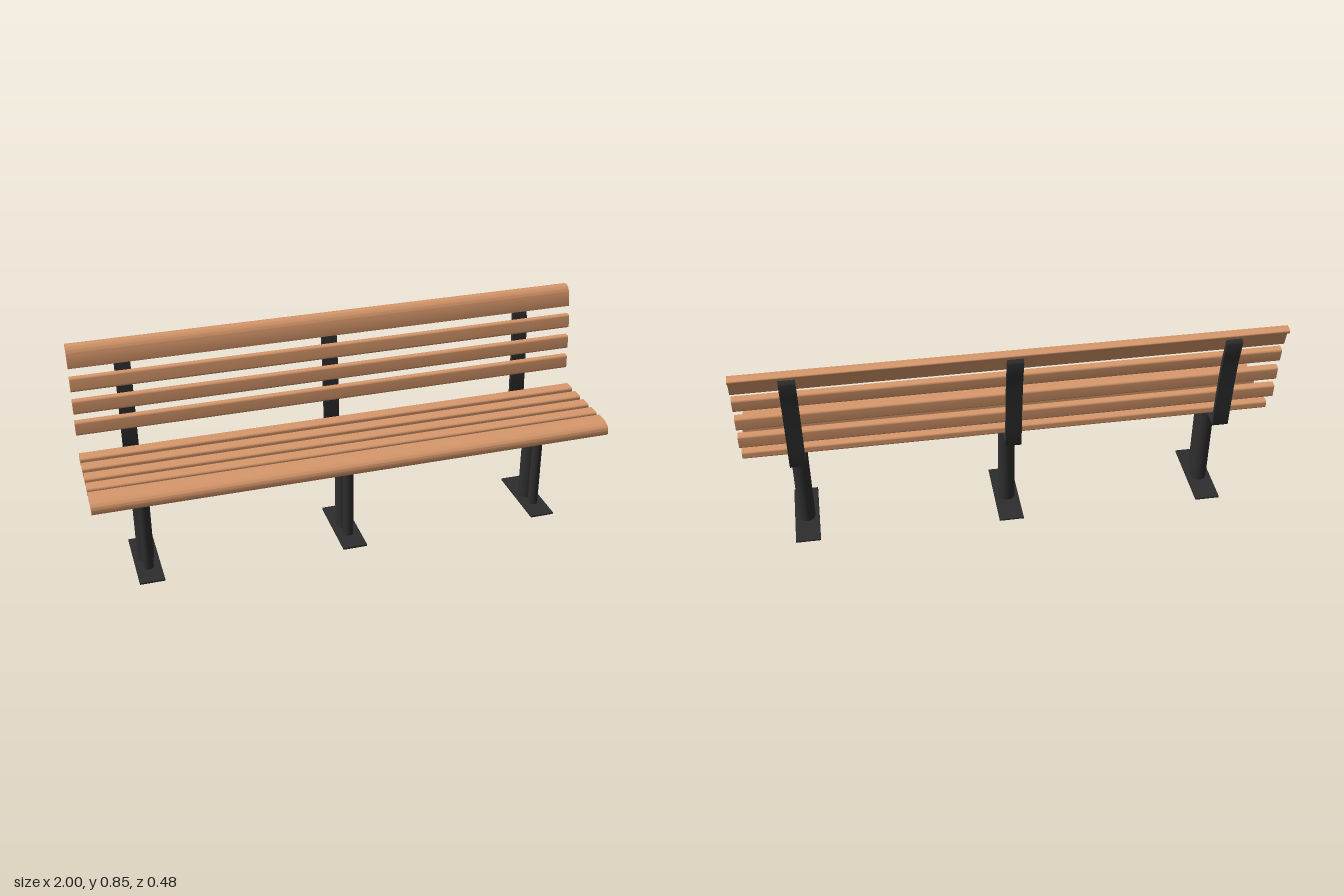
import * as THREE from 'three';
import { toCreasedNormals } from 'three/addons/utils/BufferGeometryUtils.js';

const wood = new THREE.MeshStandardMaterial({ color: 0xd9996c });
wood.name = 'wood';
const metal = new THREE.MeshStandardMaterial({ color: 0x2e2e2f });
metal.name = 'dark metal';

// Closed outline from [z, y, cornerRadius] points, drawn with x = -z
function roundedOutline(points) {
  const shape = new THREE.Shape();
  const n = points.length;
  const at = (i) => new THREE.Vector2(-points[(i + n) % n][0], points[(i + n) % n][1]);
  for (let i = 0; i < n; i++) {
    const p = at(i), r = points[i][2];
    const towards = (q) => {
      const d = q.sub(p);
      return p.clone().add(d.setLength(Math.min(r, d.length() * 0.49)));
    };
    const a = towards(at(i - 1)), b = towards(at(i + 1));
    if (i === 0) shape.moveTo(a.x, a.y);
    else shape.lineTo(a.x, a.y);
    shape.quadraticCurveTo(p.x, p.y, b.x, b.y);
  }
  shape.closePath();
  return shape;
}

// Side profile extruded across the bench, centred on x = 0
function profileMesh(name, points, width, material) {
  const geo = new THREE.ExtrudeGeometry(roundedOutline(points), {
    depth: width, bevelEnabled: false, curveSegments: 5,
  });
  geo.translate(0, 0, -width / 2).rotateY(Math.PI / 2);
  const mesh = new THREE.Mesh(toCreasedNormals(geo, 0.6), material);
  mesh.name = name;
  return mesh;
}

function slat(name, z, y, depth, height, tilt = 0) {
  const d = depth / 2, h = height / 2, r = 0.008;
  const mesh = profileMesh(name, [[d, -h, r], [-d, -h, r], [-d, h, r], [d, h, r]], 2, wood);
  mesh.position.set(0, y, z);
  mesh.rotation.x = -tilt;
  return mesh;
}

// One pedestal with its seat bracket and curved back post
function createSupport(x) {
  const support = new THREE.Group();
  support.name = 'support';
  support.position.x = x;

  support.add(profileMesh('basePlate',
    [[0.143, 0.002, 0.003], [-0.165, 0.002, 0.003], [-0.165, 0.011, 0.003], [0.143, 0.011, 0.003]]
      .map(([z, y, r]) => [z, y - 0.002, r]), 0.096, metal));

  for (const [name, z, radius] of [['frontLeg', 0.045, 0.02], ['rearLeg', -0.0225, 0.0325]]) {
    const leg = new THREE.Mesh(new THREE.CylinderGeometry(radius, radius, 0.402, 28), metal);
    leg.name = name;
    leg.position.set(0, 0.208, z);
    support.add(leg);
  }

  support.add(profileMesh('seatBracket',
    [[0.203, 0.408, 0.002], [-0.197, 0.408, 0.002], [-0.197, 0.415, 0.001], [0.203, 0.415, 0.002]],
    0.06, metal));

  // Front face going up, rear face coming down
  support.add(profileMesh('backPost', [
    [-0.197, 0.408, 0.002], [-0.202, 0.51, 0.03], [-0.207, 0.6, 0.03], [-0.218, 0.715, 0.03],
    [-0.238, 0.814, 0.004], [-0.224, 0.826, 0.004], [-0.202, 0.72, 0.03], [-0.191, 0.6, 0.03],
    [-0.186, 0.51, 0.03], [-0.18, 0.408, 0.001],
  ], 0.06, metal));
  return support;
}

export function createModel() {
  const bench = new THREE.Group();
  bench.name = 'bench';

  for (const x of [-0.8, 0, 0.8]) bench.add(createSupport(x));

  // Seat boards
  for (const z of [0.113, 0.042, -0.032, -0.107]) {
    bench.add(slat('seatSlat', z, 0.4335, 0.052, 0.031));
  }
  bench.add(profileMesh('seatFrontSlat', [
    [0.159, 0.45, 0.001], [0.212, 0.45, 0.02], [0.242, 0.433, 0.014], [0.242, 0.401, 0.006],
    [0.229, 0.403, 0.006], [0.218, 0.418, 0.006], [0.159, 0.418, 0.001],
  ], 2, wood));

  // Backrest boards
  for (const [z, y, tilt] of [[-0.167, 0.536, 0.06], [-0.173, 0.622, 0.07], [-0.181, 0.711, 0.13]]) {
    bench.add(slat('backSlat', z, y, 0.03, 0.055, tilt));
  }
  bench.add(profileMesh('backTopSlat', [
    [-0.177, 0.775, 0.001], [-0.205, 0.769, 0.001], [-0.219, 0.829, 0.007], [-0.236, 0.834, 0.006],
    [-0.242, 0.849, 0.006], [-0.212, 0.857, 0.012], [-0.19, 0.839, 0.016],
  ], 2, wood));

  return bench;
}
